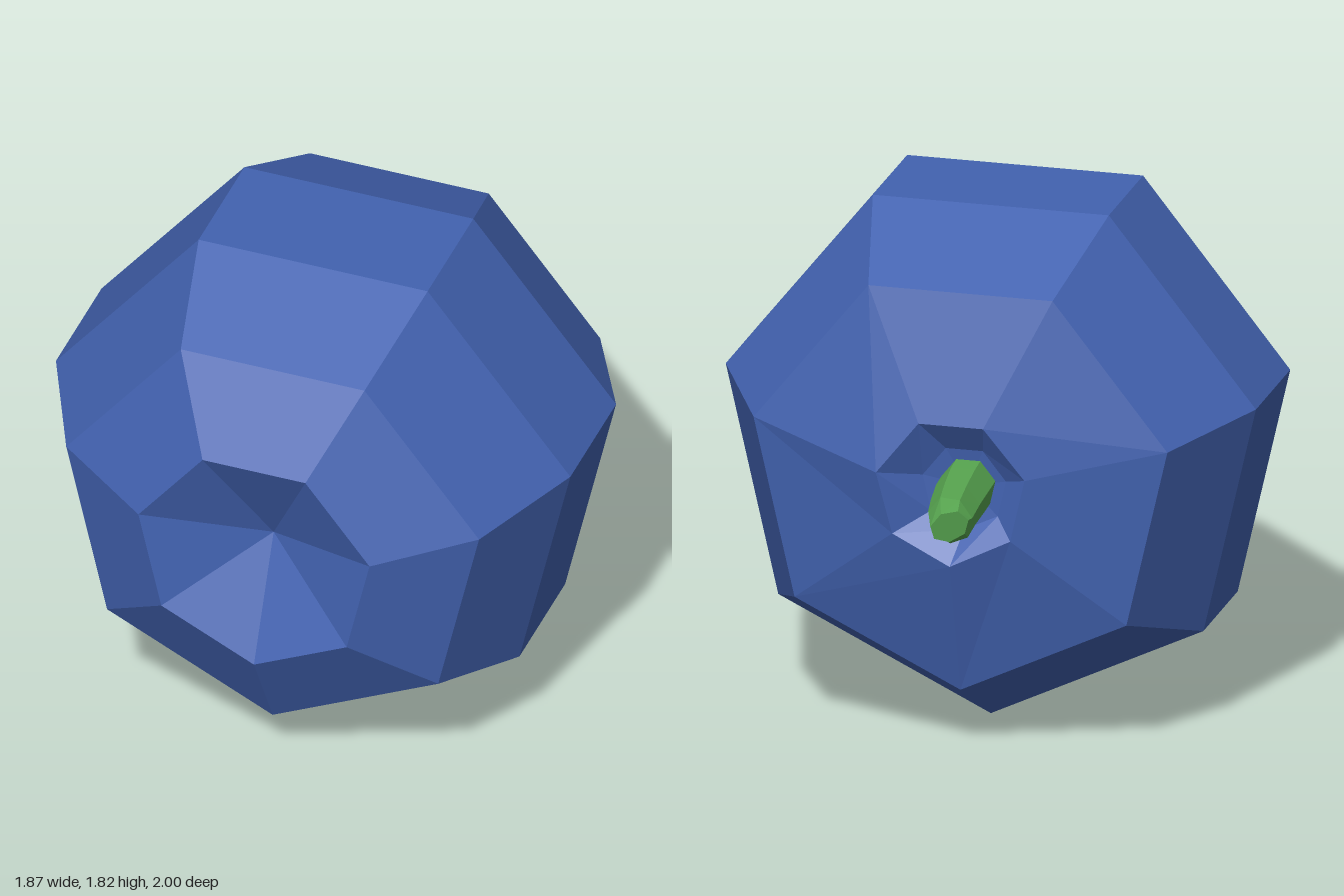
import * as THREE from 'three';

const SIDES = 7;

// Skins a list of rings (each SIDES points, running from +z to -z) with outward faces.
function loft(rings) {
  const pos = [];
  const tri = (a, b, c) => {
    if (a.distanceTo(b) < 1e-5 || b.distanceTo(c) < 1e-5 || c.distanceTo(a) < 1e-5) return;
    for (const p of [a, b, c]) pos.push(p.x, p.y, p.z);
  };
  for (let i = 0; i < rings.length - 1; i++) {
    for (let k = 0; k < SIDES; k++) {
      const n = (k + 1) % SIDES;
      const A = rings[i], B = rings[i + 1];
      tri(A[k], B[k], A[n]);
      tri(A[n], B[k], B[n]);
    }
  }
  const geo = new THREE.BufferGeometry();
  geo.setAttribute('position', new THREE.Float32BufferAttribute(pos, 3));
  geo.computeVertexNormals();
  return geo;
}

// Heptagon with a corner at the bottom; slope leans it in z along x, dz offsets each corner.
function ring(x, y, z, r, slope = 0, dz = []) {
  return Array.from({ length: SIDES }, (_, k) => {
    const a = (k / SIDES) * Math.PI * 2;
    const dx = r * Math.sin(a);
    return new THREE.Vector3(x + dx, y - r * Math.cos(a), z + slope * dx + (dz[k] || 0));
  });
}

export function createModel() {
  const skin = new THREE.MeshStandardMaterial({ color: 0x4262b0, flatShading: true });
  skin.name = 'berryBlue';
  const green = new THREE.MeshStandardMaterial({ color: 0x58a650, flatShading: true });
  green.name = 'stemGreen';

  const group = new THREE.Group();
  group.name = 'berry';
  const add = (name, rings, material) => {
    const mesh = new THREE.Mesh(loft(rings), material);
    mesh.name = name;
    group.add(mesh);
  };

  // Faceted fruit: front dimple, round body, uneven hollow around the stem
  const cy = 0.957;
  const rim = [-0.01, 0, -0.025, 0.005, 0.005, 0.02, 0.02];
  add('fruit', [
    ring(0, cy, 0.81, 0),
    ring(0, cy, 1.0, 0.43),
    ring(0, cy, 0.82, 0.768),
    ring(0, cy, 0.43, 0.957),
    ring(0, cy, -0.01, 0.957),
    ring(0, cy, -0.4, 0.747),
    ring(0, cy, -0.53, 0.262, 0, rim),
    ring(-0.03, cy, -0.46, 0.15),
    ring(-0.04, cy, -0.44, 0),
  ], skin);

  // Bent stem with a slanted cut end
  add('stem', [
    ring(-0.04, 0.965, -0.42, 0.098),
    ring(-0.05, 0.967, -0.55, 0.097),
    ring(-0.07, 0.972, -0.72, 0.089),
    ring(-0.09, 0.975, -0.86, 0.084, 0.2),
    ring(-0.112, 0.982, -0.95, 0.055, -0.93),
    ring(-0.112, 0.982, -0.95, 0),
  ], green);

  return group;
}
